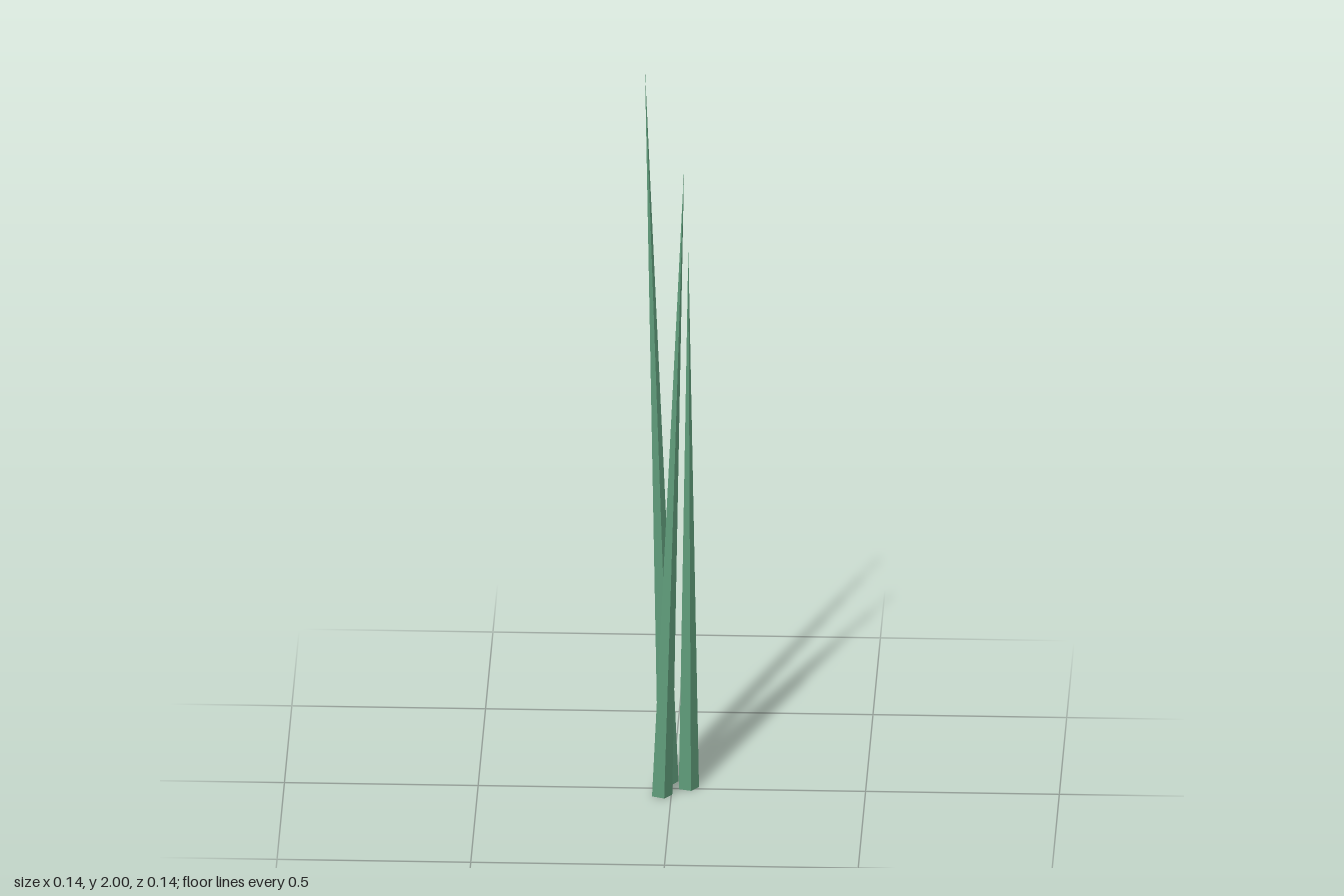
import * as THREE from 'three';

const RADIUS = 0.0285;

// One tapering five-sided blade from its foot to its tip.
function makeBlade(name, foot, tip, material) {
  const start = new THREE.Vector3(...foot);
  const axis = new THREE.Vector3(...tip).sub(start);
  const length = axis.length();
  const geometry = new THREE.ConeGeometry(RADIUS, length, 5, 1);
  geometry.rotateY(Math.PI / 2); // one corner towards +x
  geometry.translate(0, length / 2, 0);
  const blade = new THREE.Mesh(geometry, material);
  blade.name = name;
  blade.position.copy(start);
  blade.quaternion.setFromUnitVectors(new THREE.Vector3(0, 1, 0), axis.normalize());
  return blade;
}

export function createModel() {
  const group = new THREE.Group();
  group.name = 'grassTuft';
  const green = new THREE.MeshStandardMaterial({ color: 0x5f9c7a, flatShading: true });

  // Three blades of different height and lean
  group.add(
    makeBlade('tallBlade', [-0.013, 0.001, -0.043], [-0.071, 2, -0.043], green),
    makeBlade('middleBlade', [-0.026, 0.001, 0.041], [0.033, 1.76, 0.041], green),
    makeBlade('shortBlade', [0.041, 0, -0.013], [0.042, 1.515, -0.013], green),
  );
  return group;
}
